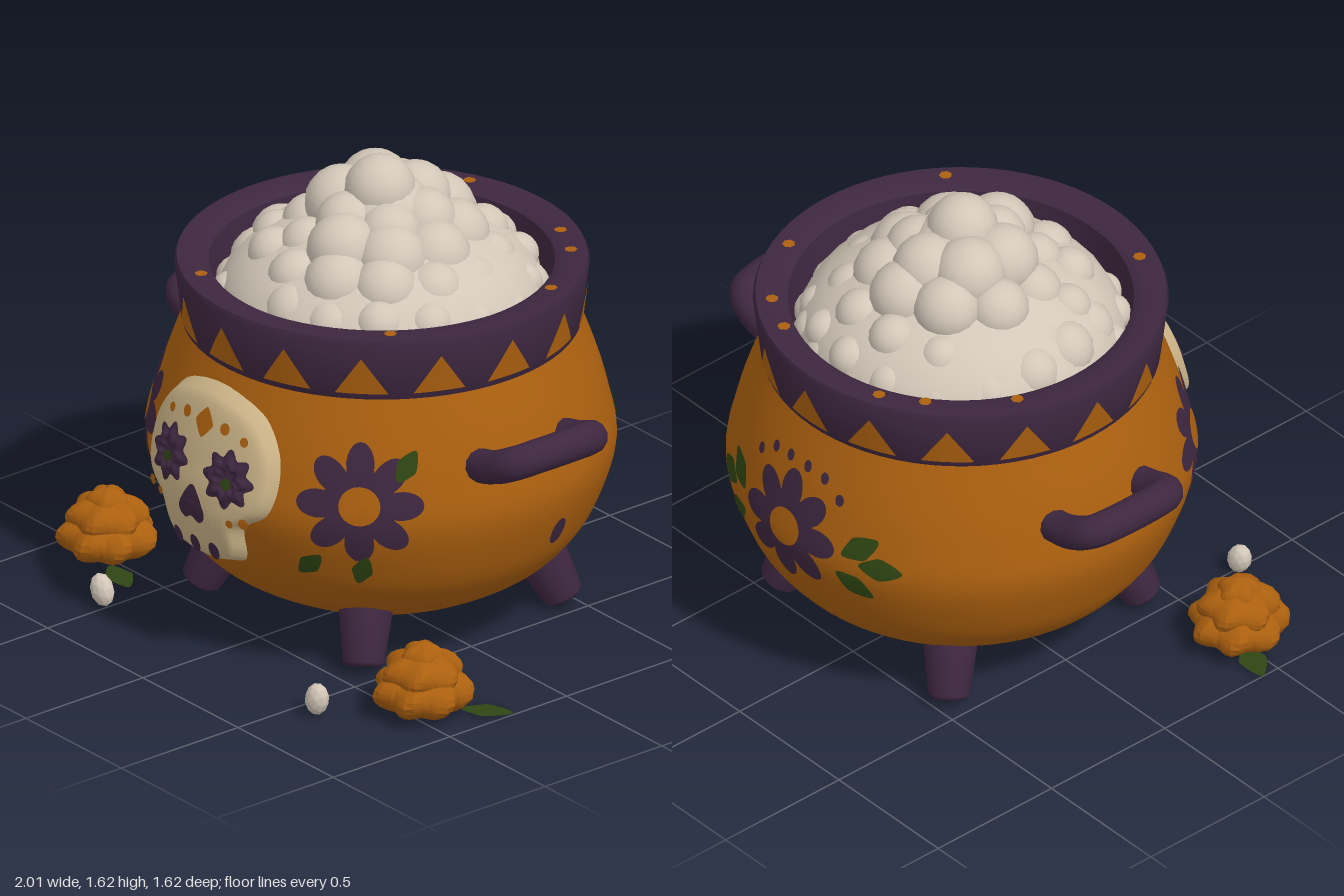
import * as THREE from 'three';
import { mergeGeometries, toCreasedNormals } from 'three/addons/utils/BufferGeometryUtils.js';

const material = (name, color) => new THREE.MeshStandardMaterial({ name, color });
const V2 = (x, y) => new THREE.Vector2(x, y);
const V3 = (x, y, z) => new THREE.Vector3(x, y, z);

export function createModel() {
  const orange = material('orange', 0xac600f);
  const purple = material('purple', 0x3e2740);
  const green = material('green', 0x2f4613);
  const bone = material('bone', 0xccb488);
  const cream = material('cream', 0xd2c7b8);
  green.side = THREE.DoubleSide;

  const model = new THREE.Group();
  const pot = new THREE.Group();
  pot.name = 'pot';
  pot.position.set(0.005, 0, -0.02);
  model.add(pot);
  const add = (parent, name, geometry, mat) => {
    const mesh = new THREE.Mesh(geometry, mat);
    mesh.name = name;
    parent.add(mesh);
    return mesh;
  };

  // Pot body and rim profiles
  const bodyProfile = new THREE.SplineCurve([
    [0, 0.05], [0.18, 0.065], [0.37, 0.115], [0.56, 0.215], [0.66, 0.31], [0.725, 0.42],
    [0.78, 0.6], [0.755, 0.76], [0.715, 0.9], [0.66, 1.05],
  ].map(p => V2(...p))).getPoints(45);
  const rimProfile = [[0.62, 1.03], [0.655, 1.03], [0.665, 1.045], [0.69, 1.25], [0.682, 1.268],
    [0.605, 1.268], [0.575, 1.25], [0.555, 1.08]].map(p => V2(...p));
  add(pot, 'body', new THREE.LatheGeometry(bodyProfile, 72), orange);
  add(pot, 'rim', toCreasedNormals(new THREE.LatheGeometry(rimProfile, 72), 0.6), purple);

  const bodyRadius = y => {
    const i = Math.max(1, bodyProfile.findIndex(p => p.y >= y));
    const a = bodyProfile[i - 1], b = bodyProfile[i];
    return THREE.MathUtils.mapLinear(y, a.y, b.y, a.x, b.x);
  };
  const rimRadius = y => THREE.MathUtils.mapLinear(y, 1.045, 1.25, 0.665, 0.69);

  // Outlines run counter-clockwise around their own origin
  const outline = (pts, tension = 0.5, n = 48) =>
    new THREE.CatmullRomCurve3(pts.map(p => V3(p[0], p[1], 0)), true, 'catmullrom', tension).getPoints(n);
  const polar = (fn, n = 48) => Array.from({ length: n + 1 }, (_, i) => {
    const a = (i / n) * Math.PI * 2;
    return V3(Math.cos(a) * fn(a), Math.sin(a) * fn(a), 0);
  });
  const oval = (w, h) => polar(() => 1, 24).map(p => V3(p.x * w, p.y * h, 0));
  const leaf = (w, l) => outline([[0, -l], [w * 0.8, -l * 0.4], [w, 0.1 * l], [0, l], [-w, 0.1 * l], [-w * 0.8, -l * 0.4]]);
  const spin = (pts, angle) => pts.map(p => p.clone().applyAxisAngle(V3(0, 0, 1), angle));

  // Wraps a filled outline around the pot; lift(y, rho) is its height above the surface
  const wrap = (name, mat, pts, angle, y0, lift = () => 0.005, radius = bodyRadius) => {
    const n = pts.length - 1;
    const g = new THREE.PlaneGeometry(1, 1, n, 10);
    const pos = g.attributes.position;
    for (let i = 0; i < pos.count; i++) {
      const p = pts[Math.round((pos.getX(i) + 0.5) * n)];
      const rho = 0.5 - pos.getY(i);
      const y = y0 + p.y * rho, a = angle + (p.x * rho) / 0.75;
      const r = radius(y) + lift(y, rho);
      pos.setXYZ(i, r * Math.sin(a), y, r * Math.cos(a));
    }
    g.computeVertexNormals();
    return add(pot, name, g, mat);
  };

  // Triangles around the rim, specks on its top
  const triangle = outline([[-0.1, -0.055], [0.1, -0.055], [0, 0.08]], 0, 36);
  for (let i = 0; i < 16; i++) {
    wrap('rimTriangle', orange, triangle, (i / 16) * Math.PI * 2, 1.12, () => 0.004, rimRadius);
  }
  for (const [x, z] of [[0.24, -0.57], [0.38, -0.5], [0.57, -0.26], [-0.25, -0.58], [-0.38, -0.49],
    [-0.57, -0.25], [-0.25, 0.57], [0.51, 0.38]]) {
    const speck = add(pot, 'rimSpeck', new THREE.CircleGeometry(0.022, 7).rotateX(-Math.PI / 2), orange);
    speck.position.set(x, 1.272, z);
  }

  // Painted flowers
  const blossom = polar(a => 0.12 + 0.09 * Math.abs(Math.cos(4 * (a - Math.PI / 2))) ** 0.8, 96);
  for (const [angle, y] of [[0.79, 0.7], [-0.74, 0.71], [Math.PI, 0.68]]) {
    wrap('paintedFlower', purple, blossom, angle, y);
    wrap('paintedFlowerCentre', orange, oval(0.068, 0.066), angle, y, () => 0.009);
  }
  // Painted leaves: angle, height, tilt
  for (const [angle, y, tilt] of [[1.0, 0.83, -0.6], [0.56, 0.46, -0.8], [0.8, 0.45, -0.3], [-0.52, 0.46, 0.7]]) {
    wrap('paintedLeaf', green, spin(leaf(0.034, 0.06), tilt), angle, y);
  }
  for (const s of [-1, 1]) {
    for (const [u, v, tilt] of [[0.4, 0.72, 1.0], [0.5, 0.66, 1.57], [0.38, 0.57, 2.1]]) {
      wrap('paintedLeaf', green, spin(leaf(0.04, 0.075), -s * tilt), Math.PI + s * u, y0(v));
    }
    for (const [u, v] of [[0.06, 0.92], [0.17, 0.91], [0.27, 0.86]]) {
      wrap('paintedDot', purple, oval(0.017, 0.02), Math.PI + s * u, v);
    }
  }
  function y0(v) { return v; }
  wrap('paintedSpot', purple, oval(0.034, 0.05), 1.78, 0.47);

  // Raised skull with its painted face
  const skullLift = y => 0.042 + Math.max(0, 0.62 - y) * 0.13;
  const skull = outline([[0.315, 0.03], [0.3, 0.15], [0.21, 0.255], [0, 0.3], [-0.21, 0.255], [-0.3, 0.15], [-0.315, 0.03],
    [-0.28, -0.08], [-0.19, -0.15], [-0.17, -0.26], [-0.13, -0.31], [0, -0.325], [0.13, -0.31], [0.17, -0.26],
    [0.19, -0.15], [0.28, -0.08]], 0.5, 96);
  wrap('skull', bone, skull, 0.01, 0.7, (y, rho) => (rho > 0.95 ? -0.01 : skullLift(y) * (rho > 0.85 ? 0.85 : 1)));
  const face = (name, mat, pts, x, y, extra = 0.005) =>
    wrap(name, mat, pts, x / 0.79, y, (h, rho) => skullLift(h) + (typeof extra === 'function' ? extra(rho) : extra));
  const socket = polar(a => 0.088 + 0.014 * Math.cos(8 * a), 64);
  for (const s of [-1, 1]) {
    face('eyeSocket', purple, socket, 0.012 + s * 0.145, 0.73, rho => 0.006 + 0.016 * Math.exp(-(((rho - 0.6) / 0.16) ** 2)));
    face('eyeGlint', green, oval(0.02, 0.02), 0.012 + s * 0.145, 0.715, 0.011);
    for (const [x, y, r] of [[0.1, 0.885, 0.02], [0.19, 0.865, 0.016], [0.17, 0.58, 0.014], [0.225, 0.595, 0.018]]) {
      face('skullDot', orange, oval(r, r), 0.01 + s * x, y);
    }
  }
  face('nose', purple, outline([[0.055, -0.04], [0.05, 0], [0, 0.07], [-0.05, 0], [-0.055, -0.04], [-0.03, -0.06],
    [0, -0.045], [0.03, -0.06]]), 0.012, 0.6);
  face('browDiamond', orange, outline([[0.042, 0], [0, 0.05], [-0.042, 0], [0, -0.05]], 0.25), 0.01, 0.88);
  for (const x of [-0.078, 0.012, 0.1]) {
    face('toothGap', purple, oval(0.022, 0.033), x, 0.45, 0.008);
  }

  // Side handles
  for (const s of [-1, 1]) {
    const path = new THREE.CatmullRomCurve3([[0.66, 0.79, 0.16], [0.78, 0.815, 0.165], [0.87, 0.855, 0.145], [0.895, 0.868, 0.07],
      [0.895, 0.868, -0.11], [0.87, 0.855, -0.185], [0.78, 0.815, -0.205], [0.66, 0.79, -0.2]]
      .map(([x, y, z]) => V3(s * x, y, z)));
    add(pot, s > 0 ? 'leftHandle' : 'rightHandle', new THREE.TubeGeometry(path, 48, 0.058, 12), purple);
  }

  // Four splayed feet
  const footProfile = [[0, 0], [0.055, 0], [0.07, 0.014], [0.1, 0.25], [0.07, 0.29], [0, 0.3]].map(p => V2(...p));
  for (const x of [-1, 1]) {
    for (const z of [-1, 1]) {
      const foot = add(pot, 'foot', new THREE.LatheGeometry(footProfile, 14), purple);
      foot.position.set(x * 0.43, 0.035, z * 0.43);
      foot.quaternion.setFromUnitVectors(V3(0, 1, 0), V3(-x * 0.35, 1, -z * 0.35).normalize());
    }
  }

  // Heaped froth: a dome covered with rings of bubbles
  const ball = (r, x, y, z) => new THREE.SphereGeometry(r, 18, 12).translate(x, y, z);
  const bubbles = [new THREE.SphereGeometry(1, 32, 16).scale(0.55, 0.33, 0.55).translate(0, 1.1, 0),
    ball(0.12, 0.015, 1.515, 0.02), ball(0.19, 0.01, 1.38, 0)];
  [[0.15, 1.425, 6, 0.105], [0.25, 1.355, 9, 0.105], [0.35, 1.27, 13, 0.1], [0.44, 1.19, 17, 0.09], [0.485, 1.12, 22, 0.075]]
    .forEach(([ring, y, n, r], k) => {
      for (let i = 0; i < n; i++) {
        const a = ((i + 0.45 * k) / n) * Math.PI * 2, j = Math.sin(i * 12.9 + k * 7.3);
        bubbles.push(ball(r * (1 + 0.2 * j), ring * (1 - 0.06 * j) * Math.sin(a), y + 0.025 * Math.sin(i * 5.1 + k), ring * (1 - 0.06 * j) * Math.cos(a)));
      }
    });
  add(pot, 'froth', mergeGeometries(bubbles), cream);

  // Ruffled blooms lying beside the pot, each with two leaves
  const ruffle = (r, h, y, lobes, turn) => {
    const g = new THREE.SphereGeometry(1, 36, 12);
    const pos = g.attributes.position;
    for (let i = 0; i < pos.count; i++) {
      const x = pos.getX(i), v = pos.getY(i), z = pos.getZ(i);
      const k = 1 + 0.1 * Math.sin(lobes * Math.atan2(z, x) + turn + v * 1.5);
      pos.setXYZ(i, x * r * k, y + v * h * (0.85 + 0.15 * k), z * r * k);
    }
    return toCreasedNormals(g, 0.5);
  };
  const flatLeaf = new THREE.ShapeGeometry(new THREE.Shape(leaf(0.045, 0.09).map(p => V2(p.x, p.y))))
    .rotateX(-Math.PI / 2);
  for (const [side, x, z, leaves] of [
    ['right', -0.8, 0.5, [[-0.92, 0.46, 1.2], [-0.65, 0.57, -1.9]]],
    ['left', 0.8, 0.455, [[0.93, 0.285, -0.9], [0.68, 0.37, 1.0]]],
  ]) {
    const bloom = new THREE.Group();
    bloom.name = side + 'Bloom';
    bloom.position.set(x, 0, z);
    model.add(bloom);
    add(bloom, 'outerPetals', ruffle(0.16, 0.085, 0.1, 7, x), orange);
    add(bloom, 'middlePetals', ruffle(0.13, 0.075, 0.165, 6, x + 2), orange);
    add(bloom, 'innerPetals', ruffle(0.07, 0.055, 0.215, 5, x + 4), orange);
    for (const [lx, lz, turn] of leaves) {
      const l = add(model, 'fallenLeaf', flatLeaf, green);
      l.position.set(lx, 0.018, lz);
      l.rotation.y = turn;
    }
  }

  // Loose kernels on the ground
  for (const [x, z] of [[-0.52, 0.75], [0.59, 0.735]]) {
    const kernel = add(model, 'kernel', toCreasedNormals(new THREE.IcosahedronGeometry(1, 1), 0.4), cream);
    kernel.scale.set(0.044, 0.058, 0.038);
    kernel.rotation.z = x > 0 ? -0.2 : 0.4;
    kernel.position.set(x, 0.07, z);
  }
  return model;
}
